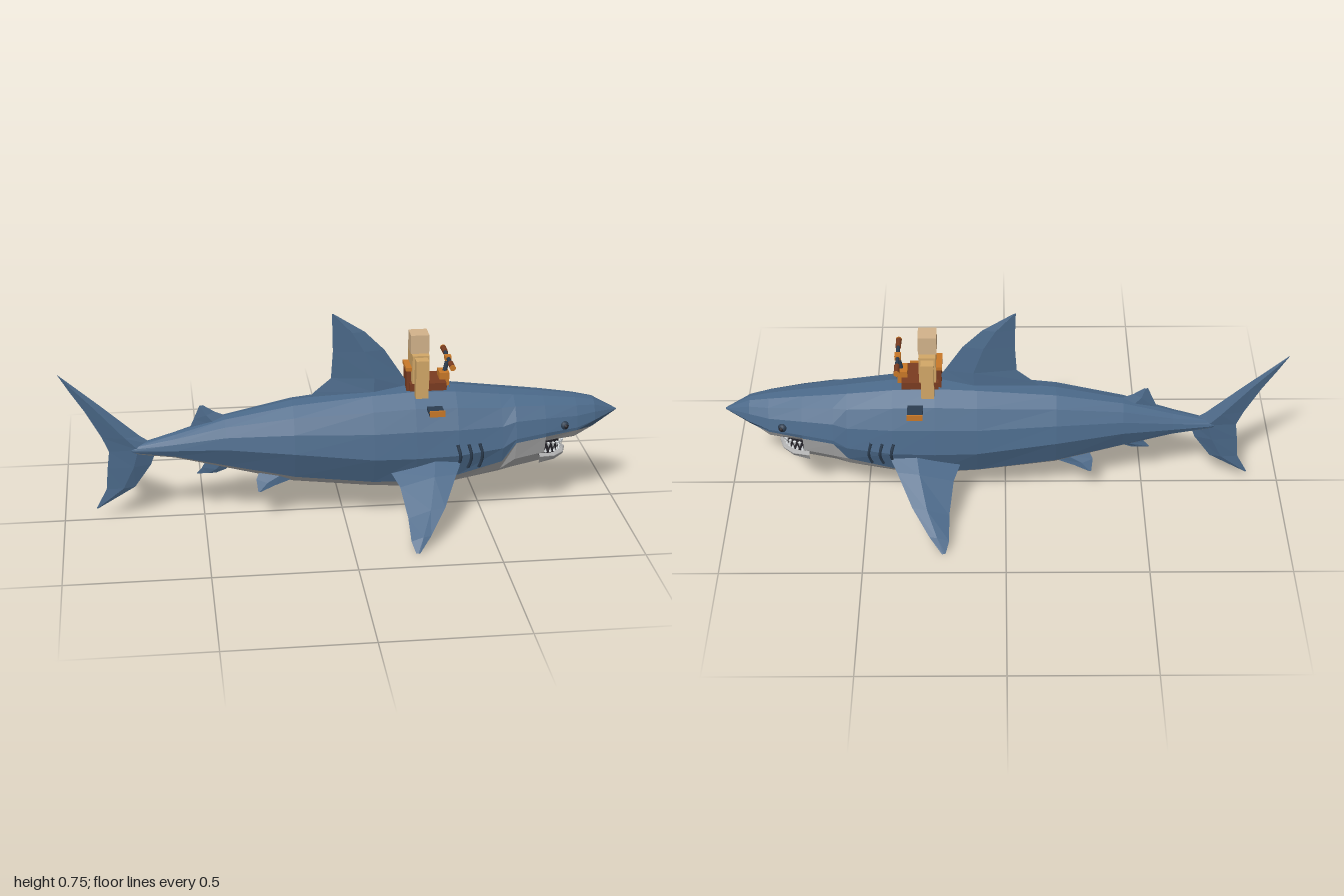
import * as THREE from 'three';

const mat = (name, color) => Object.assign(new THREE.MeshStandardMaterial({ color }), { name });

// Body stations: x, top, height of greatest width, colour seam, bottom, half width
const BODY = [
  [-0.78, 0.272, 0.27, 0.266, 0.264, 0.002],
  [-0.74, 0.287, 0.27, 0.262, 0.253, 0.02],
  [-0.6, 0.327, 0.275, 0.25, 0.236, 0.045],
  [-0.42, 0.385, 0.285, 0.215, 0.19, 0.08],
  [-0.18, 0.435, 0.275, 0.175, 0.13, 0.125],
  [0.1, 0.465, 0.25, 0.15, 0.1, 0.15],
  [0.25, 0.475, 0.25, 0.15, 0.09, 0.155],
  [0.4, 0.47, 0.255, 0.17, 0.105, 0.155],
  [0.56, 0.45, 0.27, 0.215, 0.135, 0.14],
  [0.61, 0.443, 0.3, 0.285, 0.145, 0.134],
  [0.72, 0.43, 0.31, 0.295, 0.165, 0.115],
  [0.72, 0.43, 0.31, 0.295, 0.245, 0.115], // back of the mouth
  [0.84, 0.413, 0.315, 0.305, 0.255, 0.088],
  [0.91, 0.398, 0.33, 0.292, 0.289, 0.06],
  [1.0, 0.348, 0.346, 0.344, 0.343, 0.003],
];
const JAW = [
  [0.7, 0.23, 0.22, 0.218, 0.16, 0.115],
  [0.76, 0.22, 0.212, 0.21, 0.175, 0.092],
  [0.8, 0.216, 0.208, 0.206, 0.188, 0.05],
  [0.814, 0.21, 0.206, 0.204, 0.2, 0.004],
];

// Half cross-section as [z, y] pairs: upper part down to the seam, lower part below it
function halfSection([, top, mid, seam, bot, w]) {
  const up = [[0, 1], [0.32, 0.95], [0.65, 0.75], [0.88, 0.42], [1, 0]].map(([a, b]) => [a * w, mid + b * (top - mid)]);
  const a0 = Math.asin(Math.min(1, (mid - seam) / (mid - bot)));
  const low = [0, 1, 2, 3].map((i) => {
    const a = a0 + (Math.PI / 2 - a0) * i / 3;
    return [w * Math.cos(a), mid - Math.sin(a) * (mid - bot)];
  });
  return { up: [...up, low[0]], low };
}

// Flat-shaded skin over rings of points
function skin(rings, closed = false) {
  const pos = [];
  for (let i = 0; i < rings.length - 1; i++) {
    const n = rings[i].length;
    for (let j = 0; j < (closed ? n : n - 1); j++) {
      const k = (j + 1) % n, a = rings[i][j], b = rings[i + 1][j], c = rings[i + 1][k], d = rings[i][k];
      pos.push(...a, ...b, ...c, ...a, ...c, ...d);
    }
  }
  const g = new THREE.BufferGeometry();
  g.setAttribute('position', new THREE.Float32BufferAttribute(pos, 3));
  g.computeVertexNormals();
  return g;
}

const backSkin = (st) => skin(st.map((s) => {
  const h = halfSection(s).up;
  return [...[...h].reverse().map(([z, y]) => [s[0], y, z]), ...h.slice(1).map(([z, y]) => [s[0], y, -z])];
}));
const bellySkin = (st) => skin(st.map((s) => {
  const h = halfSection(s).low;
  return [...h.map(([z, y]) => [s[0], y, -z]), ...[...h].reverse().slice(1).map(([z, y]) => [s[0], y, z])];
}));

// Look up a point on the body side (z from y) or back (y from z)
function onBody(x, value, from, to) {
  const i = Math.max(1, BODY.findIndex((s) => s[0] >= x)), a = BODY[i - 1], b = BODY[i];
  const t = (x - a[0]) / (b[0] - a[0]);
  const { up, low } = halfSection(a.map((v, k) => v + (b[k] - v) * t));
  const pts = [...up, ...low];
  for (let k = 1; k < pts.length; k++) {
    const p = pts[k - 1], q = pts[k];
    if ((p[from] - value) * (q[from] - value) <= 0 && p[from] !== q[from])
      return p[to] + (q[to] - p[to]) * (value - p[from]) / (q[from] - p[from]);
  }
  return pts[4][to];
}
const sideZ = (x, y) => onBody(x, y, 1, 0);
const backY = (x, z) => onBody(x, Math.abs(z), 0, 1);

// Diamond-section fin; each row is leading point, trailing point, half thickness
function fin(rows, axis = [0, 0, 1], mirror = 1) {
  const m = (v) => [v[0], v[1], v[2] * mirror];
  const rings = rows.map(([l, t, h]) => {
    const L = [l[0], l[1], l[2] || 0], T = [t[0], t[1], t[2] || 0];
    const side = (s) => L.map((v, i) => v * 0.6 + T[i] * 0.4 + axis[i] * h * s);
    return [L, side(1), T, side(-1)].map(m);
  });
  // Turn the ring round when it would face inwards
  const [a, b, c] = [rings[0][0], rings[0][1], rings[0][2]].map((p) => new THREE.Vector3(...p));
  const along = new THREE.Vector3(...rings[1][0]).sub(a);
  if (b.sub(a).cross(c.sub(a)).dot(along) > 0) rings.forEach((r) => r.reverse());
  return skin(rings, true);
}

// Oval pad draped over the back
function drapedPad(cx, rx, rz, lift, edge) {
  const rings = [[1, edge], [1, lift], [0.85, lift + 0.01], [0.5, lift + 0.012], [0.001, lift + 0.012]].map(([r, h]) =>
    Array.from({ length: 20 }, (_, i) => {
      const a = -i / 20 * Math.PI * 2, x = cx + rx * r * Math.cos(a), z = rz * r * Math.sin(a);
      return [x, backY(x, z) + h, z];
    }));
  return skin(rings.map((r) => r.reverse()).reverse(), true);
}

export function createModel() {
  const blue = mat('sharkBlue', 0x4a6888), grey = mat('bellyGrey', 0xb0b0b0), dark = mat('darkSteel', 0x2c3d50);
  const mouth = mat('mouthDark', 0x26242a), white = mat('toothWhite', 0xe4e8ea);
  const brown = mat('leatherBrown', 0x7a3c20), orange = mat('trimOrange', 0xc87828);
  const tan = mat('riderTan', 0xd2a767), skinTone = mat('riderHeadTan', 0xd2b28a);
  const group = new THREE.Group();
  const add = (name, geo, m, x = 0, y = 0, z = 0) => {
    const mesh = new THREE.Mesh(geo, m);
    mesh.name = name;
    mesh.position.set(x, y, z);
    group.add(mesh);
    return mesh;
  };
  const box = (name, m, x0, x1, y0, y1, z0, z1) => add(name, new THREE.BoxGeometry(x1 - x0, y1 - y0, z1 - z0), m,
    (x0 + x1) / 2, (y0 + y1) / 2, (z0 + z1) / 2);
  const rod = (name, m, a, b, r) => {
    const A = new THREE.Vector3(...a), B = new THREE.Vector3(...b);
    const mesh = add(name, new THREE.CylinderGeometry(r, r, A.distanceTo(B), 10), m);
    mesh.position.copy(A).lerp(B, 0.5);
    mesh.quaternion.setFromUnitVectors(new THREE.Vector3(0, 1, 0), B.sub(A).normalize());
  };

  // Body and jaw
  add('back', backSkin(BODY), blue);
  add('belly', bellySkin(BODY), grey);
  add('jawTop', backSkin(JAW), grey);
  add('jaw', bellySkin(JAW), grey);
  add('mouthInside', new THREE.CylinderGeometry(1, 1, 0.055, 20), mouth, 0.71, 0.241, 0).scale.set(0.08, 1, 0.09);
  for (let i = -6; i <= 6; i++) {
    const a = i / 6 * 1.35, x = 0.715 + 0.088 * Math.cos(a), z = 0.098 * Math.sin(a), rise = 0.012 * Math.abs(i / 6);
    add('upperTooth', new THREE.ConeGeometry(0.007, 0.02, 4), white, x, 0.242 + rise, z).rotation.x = Math.PI;
    add('lowerTooth', new THREE.ConeGeometry(0.006, 0.016, 4), white, x - 0.008, 0.221 + rise, z * 0.92);
  }

  // Middle fins
  add('dorsalFin', fin([
    [[0.29, 0.42], [-0.14, 0.42], 0.03], [[0.25, 0.46], [-0.1, 0.46], 0.025], [[0.215, 0.51], [-0.04, 0.51], 0.02],
    [[0.15, 0.61], [-0.033, 0.61], 0.014], [[0.08, 0.68], [-0.034, 0.68], 0.009], [[-0.03, 0.75], [-0.036, 0.75], 0.001]]), blue);
  const tailRoot = [[-0.66, 0.28], [-0.832, 0.265], 0.018];
  add('upperTailFin', fin([tailRoot, [[-0.72, 0.32], [-0.855, 0.32], 0.016], [[-0.85, 0.437], [-0.912, 0.425], 0.008],
    [[-0.94, 0.515], [-0.96, 0.5], 0.004], [[-1, 0.567], [-0.998, 0.565], 0.001]]), blue);
  add('lowerTailFin', fin([tailRoot, [[-0.685, 0.21], [-0.84, 0.2], 0.014], [[-0.745, 0.125], [-0.847, 0.12], 0.008],
    [[-0.88, 0.046], [-0.886, 0.047], 0.001]]), blue);
  add('rearDorsalFin', fin([[[-0.38, 0.37], [-0.55, 0.33], 0.015], [[-0.455, 0.402], [-0.53, 0.375], 0.008],
    [[-0.495, 0.428], [-0.507, 0.428], 0.001]]), blue);
  add('analFin', fin([[[-0.38, 0.215], [-0.48, 0.235], 0.012], [[-0.42, 0.178], [-0.505, 0.187], 0.006],
    [[-0.455, 0.165], [-0.525, 0.165], 0.001]]), blue);

  // Paired fins, gills and eyes
  for (const s of [1, -1]) {
    add('pectoralFin', fin([
      [[0.42, 0.24, 0.125], [0.16, 0.19, 0.125], 0.026], [[0.385, 0.2, 0.19], [0.185, 0.16, 0.19], 0.02],
      [[0.33, 0.12, 0.29], [0.2, 0.085, 0.29], 0.013], [[0.27, 0.05, 0.365], [0.2, 0.035, 0.37], 0.007],
      [[0.225, 0.003, 0.405], [0.212, 0.005, 0.402], 0.001]], [0, 0.77, 0.63], s), blue);
    add('pelvicFin', fin([[[-0.17, 0.16, 0.06], [-0.3, 0.19, 0.05], 0.012], [[-0.25, 0.138, 0.075], [-0.315, 0.16, 0.065], 0.006],
      [[-0.3, 0.12, 0.085], [-0.31, 0.12, 0.085], 0.001]], [0, 0.4, 0.9], s), blue);
    for (const x of [0.395, 0.435, 0.475]) {
      const pts = [[0, 0.2], [0.008, 0.225], [0.01, 0.255], [0, 0.295]].map(([dx, y]) =>
        new THREE.Vector3(x + dx, y, s * sideZ(x + dx, y)));
      add('gillSlit', new THREE.TubeGeometry(new THREE.CatmullRomCurve3(pts), 8, 0.006, 5), dark);
    }
    add('eye', new THREE.SphereGeometry(0.017, 12, 8), dark, 0.79, 0.327, s * (sideZ(0.79, 0.327) - 0.006));
    add('pupil', new THREE.SphereGeometry(0.009, 10, 6), mouth, 0.794, 0.327, s * (sideZ(0.79, 0.327) + 0.005));
  }

  // Saddle
  add('saddleRim', drapedPad(0.298, 0.088, 0.12, 0.006, -0.02), orange);
  add('saddlePad', drapedPad(0.298, 0.077, 0.107, 0.016, -0.01), brown);
  box('saddleSeat', brown, 0.235, 0.365, 0.47, 0.498, -0.06, 0.06);
  box('saddleBack', brown, 0.225, 0.24, 0.46, 0.54, -0.04, 0.04);
  box('saddleBackTrim', orange, 0.222, 0.243, 0.54, 0.553, -0.043, 0.043);
  box('saddleHorn', orange, 0.345, 0.38, 0.475, 0.523, -0.027, 0.027);
  rod('handlebarStem', dark, [0.363, 0.5, 0], [0.378, 0.57, 0], 0.008);
  rod('handlebar', dark, [0.378, 0.57, -0.1], [0.378, 0.57, 0.1], 0.007);
  box('handlebarClamp', orange, 0.367, 0.389, 0.562, 0.579, -0.013, 0.013);
  for (const s of [1, -1]) {
    rod('grip', brown, [0.378, 0.57, s * 0.056], [0.378, 0.57, s * 0.102], 0.01);
    rod('gripCap', orange, [0.378, 0.57, s * 0.102], [0.378, 0.57, s * 0.106], 0.011);
    const zs = (a, b) => (s > 0 ? [a, b] : [-b, -a]);
    box('footPeg', dark, 0.29, 0.345, 0.414, 0.424, ...zs(0.09, 0.162));
    box('footPegCap', orange, 0.29, 0.345, 0.412, 0.434, ...zs(0.16, 0.166));
    box('riderArm', tan, 0.25, 0.295, 0.457, 0.597, ...zs(0.062, 0.099));
  }

  // Rider
  box('riderBody', tan, 0.243, 0.303, 0.47, 0.602, -0.058, 0.058);
  box('riderHead', skinTone, 0.24, 0.305, 0.602, 0.67, -0.034, 0.034);
  return group;
}
